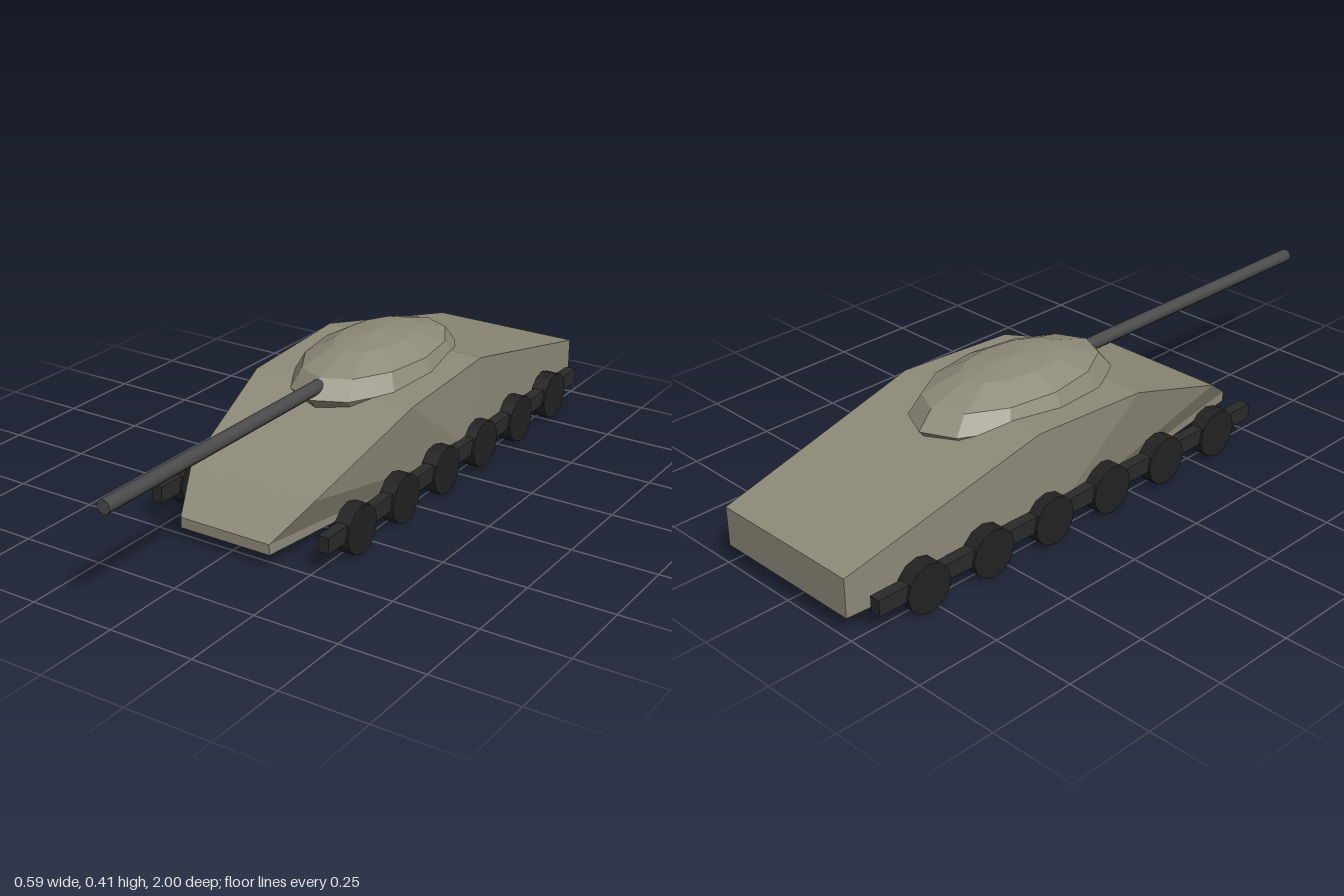
import * as THREE from 'three';

const material = (color, flatShading = true) => new THREE.MeshStandardMaterial({ color, flatShading });

// Faceted hull: a side outline of [z, y, halfWidth], mirrored in x.
function hullGeometry() {
  const outline = [
    [0.535, 0.042, 0.145], // lower nose
    [0.535, 0.073, 0.145], // upper nose
    [0.41, 0.163, 0.204],
    [0.02, 0.305, 0.262], // front of deck
    [-0.36, 0.327, 0.262], // crest of deck
    [-1, 0.175, 0.237], // tail
    [-1, 0.06, 0.237],
    [-0.33, 0.042, 0.262], // belly, hub of the side fan
  ];
  const n = outline.length;
  const hub = n - 1;
  const positions = [];
  const put = (...corners) => corners.forEach(([i, side]) => {
    const [z, y, w] = outline[i];
    positions.push(side * w, y, z);
  });
  for (let i = 0; i < n; i++) {
    const j = (i + 1) % n;
    // strip across the hull
    put([i, -1], [i, 1], [j, 1], [i, -1], [j, 1], [j, -1]);
    // side facets
    if (i !== hub && j !== hub) {
      put([hub, 1], [j, 1], [i, 1]);
      put([hub, -1], [i, -1], [j, -1]);
    }
  }
  const geometry = new THREE.BufferGeometry();
  geometry.setAttribute('position', new THREE.Float32BufferAttribute(positions, 3));
  geometry.computeVertexNormals();
  return geometry;
}

export function createModel() {
  const group = new THREE.Group();
  const paint = material(0x8e8a78);
  const rubber = material(0x222222);
  const trackDark = material(0x2a2a2a);
  const steel = material(0x4a4a4a, false);

  const add = (name, geometry, mat, x, y, z, parent = group) => {
    const mesh = new THREE.Mesh(geometry, mat);
    mesh.name = name;
    mesh.position.set(x, y, z);
    parent.add(mesh);
    return mesh;
  };

  add('hull', hullGeometry(), paint, 0, 0, 0);

  // Flattened, elongated turret
  const turret = new THREE.SphereGeometry(1, 12, 6).scale(0.194, 0.104, 0.339);
  add('turret', turret, paint, 0, 0.305, -0.205);

  // Gun barrel, running from inside the turret
  const barrel = new THREE.CylinderGeometry(0.02, 0.02, 1, 12).rotateX(Math.PI / 2);
  add('gunBarrel', barrel, steel, 0, 0.333, 0.5);

  // Running gear on both sides
  const wheel = new THREE.CylinderGeometry(0.071, 0.071, 0.047, 12).rotateZ(Math.PI / 2);
  const track = new THREE.BoxGeometry(0.033, 0.047, 1.415);
  for (const side of [1, -1]) {
    const gear = new THREE.Group();
    gear.name = side > 0 ? 'leftRunningGear' : 'rightRunningGear';
    group.add(gear);
    add('track', track, trackDark, side * 0.274, 0.084, -0.232, gear);
    for (let i = 0; i < 6; i++) {
      add('roadWheel', wheel, rubber, side * 0.274, 0.071, 0.325 - i * 0.2215, gear);
    }
  }
  return group;
}
